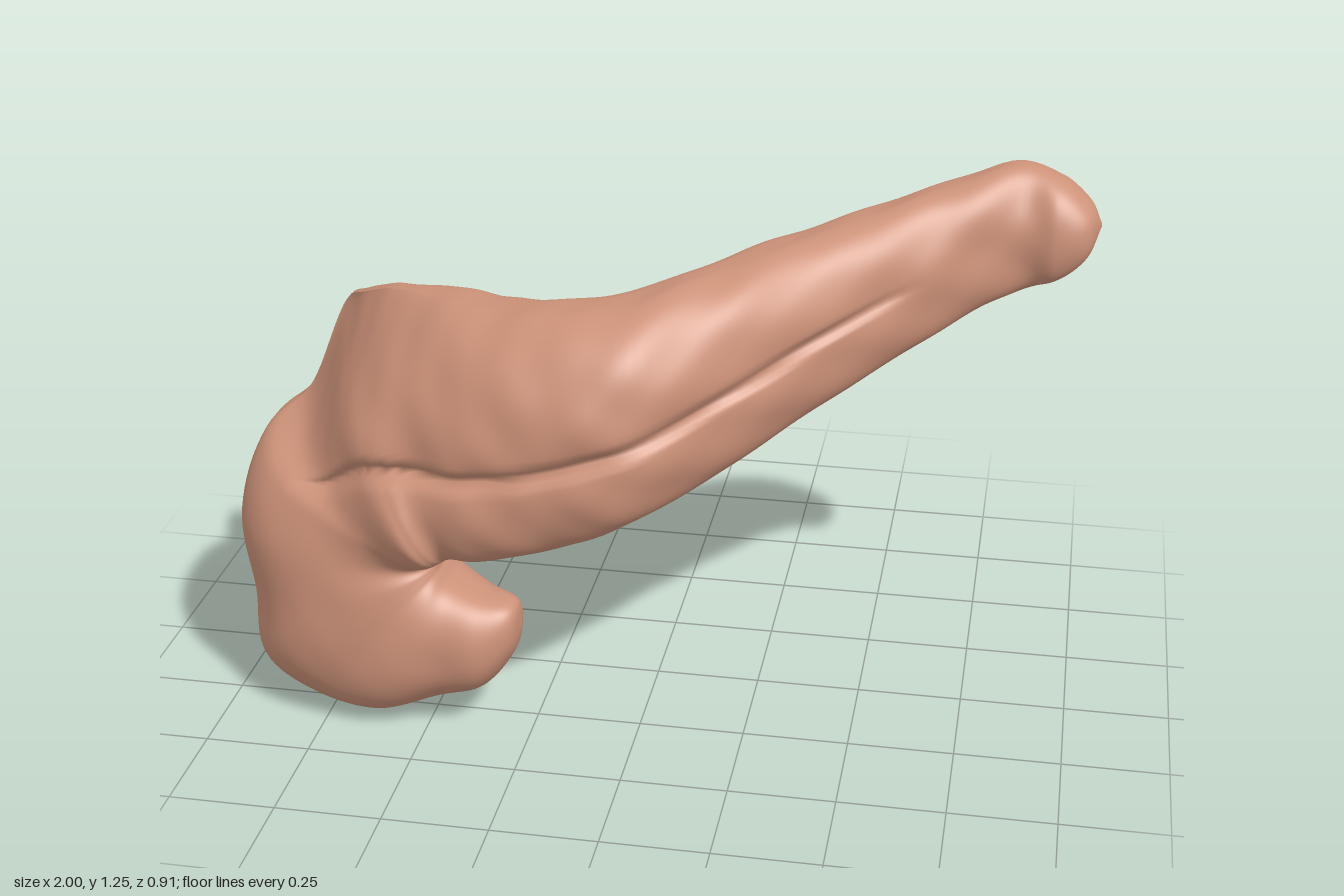
import * as THREE from 'three';

// Head stations fanning round the notch:
// inner edge xyz, outer edge xyz, front bulge, back bulge, bluntness
const HEAD = [
  [-0.28, 0.26, 0.27, -0.28, 0.25, 0.27, 0, 0, 0.8],
  [-0.295, 0.315, 0.27, -0.30, 0.18, 0.27, 0.065, 0.065, 0.85],
  [-0.37, 0.335, 0.26, -0.37, 0.09, 0.26, 0.125, 0.12, 0.8],
  [-0.44, 0.365, 0.24, -0.48, 0.045, 0.23, 0.16, 0.15, 0.75],
  [-0.465, 0.39, 0.23, -0.64, 0.0, 0.24, 0.18, 0.17, 0.7],
  [-0.47, 0.40, 0.22, -0.82, 0.02, 0.20, 0.20, 0.18, 0.7],
  [-0.47, 0.405, 0.22, -0.95, 0.10, 0.17, 0.21, 0.19, 0.74],
  [-0.47, 0.41, 0.22, -0.97, 0.26, 0.15, 0.21, 0.21, 0.8],
  [-0.47, 0.415, 0.22, -1.0, 0.45, 0.13, 0.20, 0.23, 0.8],
  [-0.465, 0.42, 0.23, -0.965, 0.61, 0.03, 0.23, 0.20, 0.77],
  [-0.46, 0.43, 0.23, -0.88, 0.685, -0.07, 0.28, 0.15, 0.8],
  [-0.45, 0.44, 0.25, -0.80, 0.885, -0.12, 0.31, 0.10, 0.9],
  [-0.44, 0.447, 0.26, -0.72, 0.945, -0.05, 0.28, 0.11, 0.9],
  [-0.42, 0.455, 0.27, -0.60, 0.995, 0.04, 0.23, 0.14, 0.85],
  [-0.35, 0.47, 0.30, -0.40, 1.02, 0.16, 0.20, 0.20, 0.75],
];

// Body and tail stations: x, bottom, top, front z, back z
const BODY = [
  [-0.2, 0.50, 1.04, 0.445, 0.07],
  [0, 0.57, 1.07, 0.41, 0.0],
  [0.2, 0.65, 1.11, 0.23, -0.17],
  [0.4, 0.75, 1.15, 0.03, -0.29],
  [0.6, 0.85, 1.20, -0.14, -0.38],
  [0.8, 0.95, 1.25, -0.27, -0.44],
  [0.9, 0.98, 1.22, -0.265, -0.45],
  [0.97, 1.04, 1.17, -0.29, -0.42],
  [1.0, 1.11, 1.12, -0.36, -0.36],
];

// Front relief from station 9 on: groove height fraction, groove depth,
// and how thin the upper lobe gets towards its top edge
const RELIEF = [[0.75, 0, 0.4], [0.64, 0.035, 1.6], [0.5, 0.05, 3.2], [0.46, 0.05, 2.4],
  [0.42, 0.045, 1.1], [0.4, 0.04, 0.4], [0.42, 0.035, 0.25], [0.43, 0.04, 0.22],
  [0.46, 0.04, 0.22], [0.49, 0.035, 0.22], [0.5, 0, 0.22]];

const spline = (points) => new THREE.CatmullRomCurve3(points, false, 'catmullrom', 0.5);

function buildSurface(rings, sides) {
  const rows = HEAD.concat(BODY.map(([x, bottom, top, front, back]) => {
    const z = (front + back) / 2, half = (front - back) / 2, tilt = 0.06 * (top - bottom);
    return [x, bottom, z + tilt, x, top, z - tilt, half, half, 0.8];
  }));
  const pick = (k) => spline(rows.map((r) => new THREE.Vector3(r[k], r[k + 1], r[k + 2])));
  const innerEdge = pick(0), outerEdge = pick(3), bulge = pick(6);
  const relief = spline(rows.map((_, i) => new THREE.Vector3(
    ...RELIEF[Math.min(Math.max(i - 9, 0), RELIEF.length - 1)])));

  const positions = [], index = [];
  for (let i = 0; i <= rings; i++) {
    const s = i / rings;
    const a = innerEdge.getPoint(s), b = outerEdge.getPoint(s);
    const w = bulge.getPoint(s), g = relief.getPoint(s);
    // lumps fade at both tips and stay faint on the head
    const taper = THREE.MathUtils.smoothstep(s, 0.4, 0.7) * 0.75 + 0.25;
    const rough = taper * Math.min(1, 8 * s, 8 * (1 - s));
    for (let j = 0; j < sides; j++) {
      const t = (j / sides) * Math.PI * 2;
      const c = Math.cos(t), sn = Math.sin(t);
      const v = 0.5 - 0.5 * Math.sign(c) * Math.abs(c) ** 0.9;
      const p = a.clone().lerp(b, v);
      // the front is fuller below and leans back on top, the back the reverse
      const lean = sn < 0 ? 0.35 * c : c > 0 ? -0.22 * c : -g.z * c;
      const side = Math.abs(sn) ** (w.z * (1 + lean));
      p.z += sn > 0 ? w.x * side : -w.y * side;
      // crease between the two long front lobes
      if (sn > 0) {
        const d = (v - g.x) / 0.03;
        p.z -= Math.max(0, g.y) * (0.75 * Math.exp(-d * d) + 0.25 * Math.exp(-d * d / 12));
      }
      // soft organic lumps, a little stronger at the back
      const lump = Math.sin(p.x * 23 + p.y * 9) * Math.sin(p.y * 27 - p.x * 7)
        + 0.6 * Math.sin(p.x * 41 + p.z * 13) * Math.sin(p.y * 37 + p.z * 17);
      p.z += rough * lump * sn * (sn > 0 ? 0.004 : 0.007);
      p.y -= rough * lump * c * 0.004;
      positions.push(p.x, p.y, p.z);
    }
  }
  for (let i = 0; i < rings; i++) {
    for (let j = 0; j < sides; j++) {
      const k = (j + 1) % sides;
      const p = i * sides + j, q = p + sides, r = i * sides + k, u = r + sides;
      index.push(p, q, r, q, u, r);
    }
  }
  const geometry = new THREE.BufferGeometry();
  geometry.setAttribute('position', new THREE.Float32BufferAttribute(positions, 3));
  geometry.setIndex(index);
  geometry.computeVertexNormals();
  return geometry;
}

export function createModel() {
  const group = new THREE.Group();
  group.name = 'pancreas';
  const material = new THREE.MeshStandardMaterial({ color: 0xcd9279, side: THREE.DoubleSide });
  // head, body and tail as one continuous loft
  const organ = new THREE.Mesh(buildSurface(220, 140), material);
  organ.name = 'headBodyAndTail';
  group.add(organ);
  return group;
}
